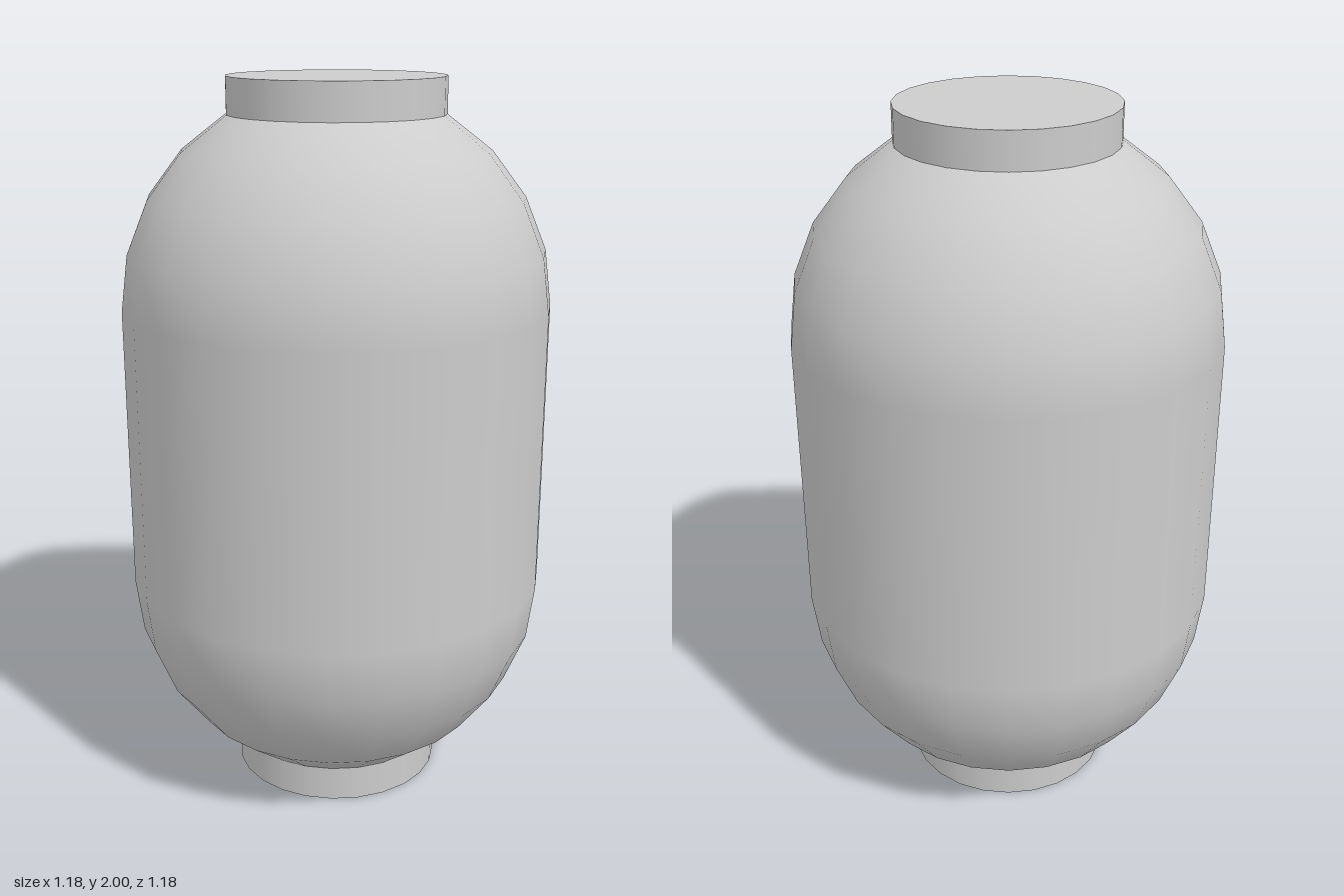
import * as THREE from 'three';

export function createModel() {
  const group = new THREE.Group();
  group.name = 'paperLantern';
  const grey = new THREE.MeshStandardMaterial({ color: 0xcccccc });
  grey.name = 'light grey';

  // Rounded body: straight middle with a dome at each end
  const radius = 0.588, straight = 0.784;
  const body = new THREE.Mesh(new THREE.CapsuleGeometry(radius, straight, 6, 24), grey);
  body.name = 'body';
  body.position.y = 1;
  group.add(body);

  // Matching collars at both ends
  const collarHeight = 0.1;
  const collarGeometry = new THREE.CylinderGeometry(radius / 2, radius / 2, collarHeight, 24);
  for (const [name, y] of [['bottomCollar', collarHeight / 2], ['topCollar', 2 - collarHeight / 2]]) {
    const collar = new THREE.Mesh(collarGeometry, grey);
    collar.name = name;
    collar.position.y = y;
    group.add(collar);
  }
  return group;
}
